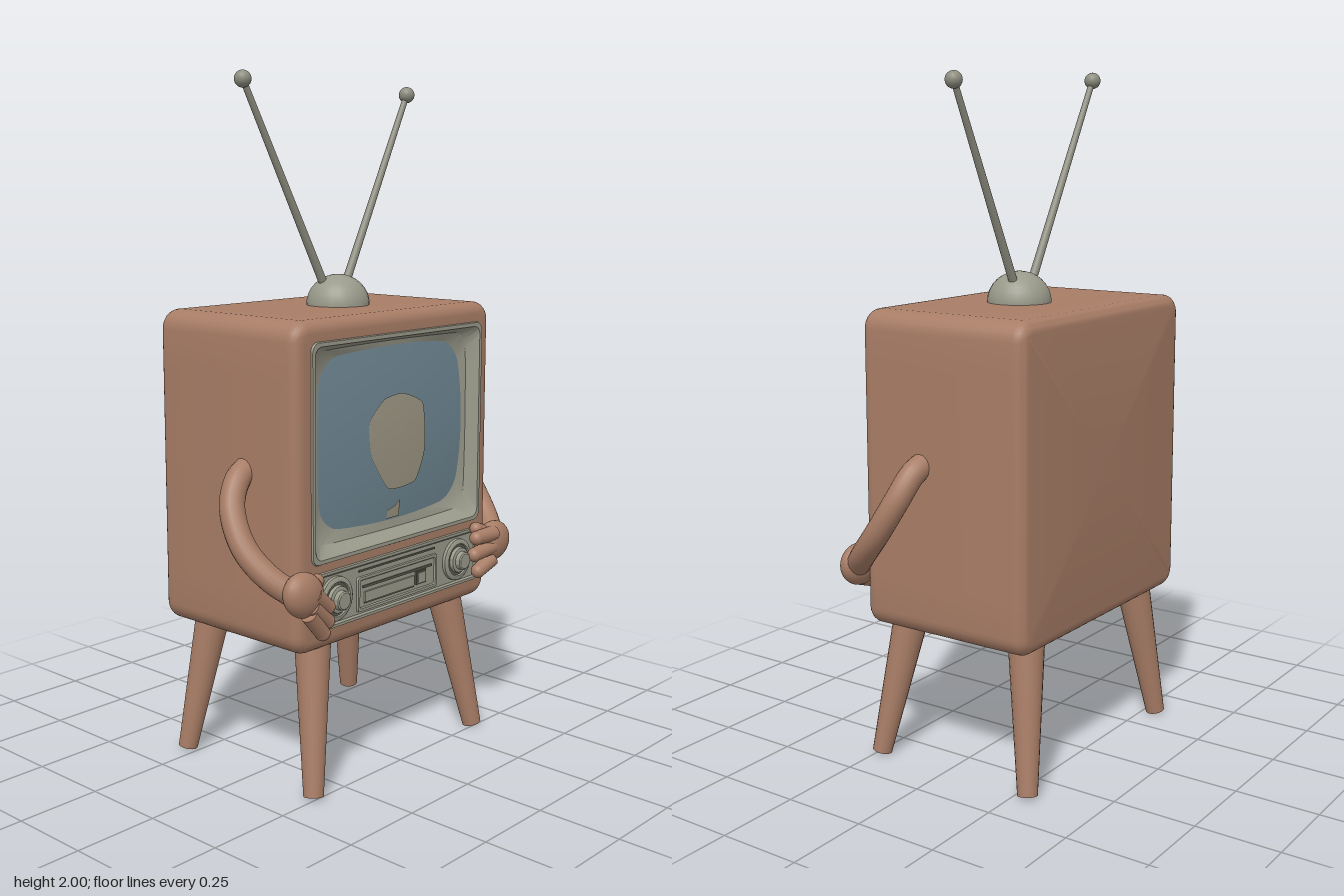
import * as THREE from 'three';
import { toCreasedNormals } from 'three/addons/utils/BufferGeometryUtils.js';

const paint = (name, color) => {
  const m = new THREE.MeshStandardMaterial({ color });
  m.name = name;
  return m;
};
const V = (x, y, z) => new THREE.Vector3(x, y, z);

// Rounded rectangle of points, counter-clockwise; bulge bows the sides outward.
function ring(cx, cy, z, w, h, r, bulge = 0) {
  const corners = [[1, -1], [1, 1], [-1, 1], [-1, -1]];
  const pts = [];
  corners.forEach(([sx, sy], k) => {
    for (let i = 0; i <= 6; i++) {
      const a = (k - 1 + i / 6) * Math.PI / 2;
      pts.push([sx * (w - r) + r * Math.cos(a), sy * (h - r) + r * Math.sin(a)]);
    }
    const [nx, ny] = corners[(k + 1) % 4];
    const end = pts[pts.length - 1];
    const a = k * Math.PI / 2;
    const next = [nx * (w - r) + r * Math.cos(a), ny * (h - r) + r * Math.sin(a)];
    for (let i = 1; i < 8; i++) {
      pts.push([end[0] + (next[0] - end[0]) * i / 8, end[1] + (next[1] - end[1]) * i / 8]);
    }
  });
  return pts.map(([x, y]) => V(
    cx + x * (1 + bulge * (1 - (y / h) ** 2)),
    cy + y * (1 + bulge * (1 - (x / w) ** 2)), z));
}

// Ring shrunk to a single point, closing a flat face.
const centre = (x, y, z) => Array.from({ length: 56 }, () => V(x, y, z));

// Skin joining successive rings of equal length, without zero-area triangles.
function loft(rings, crease = 0.6) {
  const n = rings[0].length, points = [];
  const tri = (a, b, c) => {
    if (!a.equals(b) && !b.equals(c) && !c.equals(a)) points.push(a, b, c);
  };
  for (let i = 0; i < rings.length - 1; i++) {
    for (let j = 0; j < n; j++) {
      const k = (j + 1) % n, p = rings[i], q = rings[i + 1];
      tri(p[j], p[k], q[j]);
      tri(p[k], q[k], q[j]);
    }
  }
  return toCreasedNormals(new THREE.BufferGeometry().setFromPoints(points), crease);
}

// Screen glass: a shallow dome around its centre.
const SX = 0.012, SY = 0.985;
const glassZ = (x, y) => 0.187 + 0.03 * (1 - Math.min(1, ((x - SX) / 0.32) ** 2 * 0.5 + ((y - SY) / 0.26) ** 2 * 0.5));

export function createModel() {
  const model = new THREE.Group();
  const brown = paint('brown casing', 0xa87d66);
  const grey = paint('warm grey trim', 0x9a9a8b);
  const metal = paint('aerial metal', 0x8f8e80);
  const blue = paint('blue glass', 0x708894);
  const tan = paint('pale reflection', 0x9f9985);
  const dark = paint('dark slot', 0x5c5b50);

  const add = (name, geo, mat, parent = model) => {
    const mesh = new THREE.Mesh(geo, mat);
    mesh.name = name;
    parent.add(mesh);
    return mesh;
  };
  const group = (name) => {
    const g = new THREE.Group();
    g.name = name;
    model.add(g);
    return g;
  };
  // Tapered round bar from a to b
  const bar = (name, a, b, ra, rb, mat, parent) => {
    const mesh = add(name, new THREE.CylinderGeometry(rb, ra, a.distanceTo(b), 20), mat, parent);
    mesh.position.copy(a).lerp(b, 0.5);
    mesh.quaternion.setFromUnitVectors(V(0, 1, 0), b.clone().sub(a).normalize());
  };
  const ball = (name, p, sx, sy, sz, mat, parent) => {
    const mesh = add(name, new THREE.SphereGeometry(1, 24, 16), mat, parent);
    mesh.position.copy(p);
    mesh.scale.set(sx, sy, sz);
    return mesh;
  };
  const box = (name, x, y, z, w, h, d, mat, parent) =>
    add(name, new THREE.BoxGeometry(w, h, d), mat, parent).position.set(x, y, z);

  // Cabinet: back, rounded edges, sides and front frame with the screen opening
  const W = 0.428, H = 0.46, CY = 0.88, R = 0.035;
  const shell = [centre(0, CY, -0.312)];
  for (let i = 0; i <= 6; i++) {
    const a = i / 6 * Math.PI / 2, inset = R * (1 - Math.sin(a));
    shell.push(ring(0, CY, -0.312 + R * (1 - Math.cos(a)), W - inset, H - inset, 0.055 - inset));
  }
  for (let i = 0; i <= 6; i++) {
    const a = i / 6 * Math.PI / 2, inset = R * (1 - Math.cos(a));
    shell.push(ring(0, CY, 0.238 - R * (1 - Math.sin(a)), W - inset, H - inset, 0.055 - inset));
  }
  shell.push(ring(0.005, 0.975, 0.238, 0.374, 0.306, 0.025));
  add('cabinet', loft(shell), brown);

  // Sloping screen surround
  const rim = ring(SX, SY, 0, 0.298, 0.238, 0.07, 0.075);
  rim.forEach(p => { p.z = glassZ(p.x, p.y); });
  add('screenSurround', loft([
    ring(0.005, 0.975, 0.236, 0.376, 0.308, 0.025),
    ring(0.005, 0.975, 0.243, 0.373, 0.305, 0.025),
    ring(0.005, 0.975, 0.243, 0.362, 0.294, 0.025),
    ring(0.008, 0.98, 0.205, 0.335, 0.27, 0.05, 0.02),
    rim,
  ]), grey);

  // Domed patch following the glass, filled toward (cx, cy)
  const patch = (outline, cx, cy, lift) => loft([1, 0.85, 0.7, 0.5, 0.25, 0].map(s => outline.map(p => {
    const x = cx + (p.x - cx) * s, y = cy + (p.y - cy) * s;
    return V(x, y, glassZ(x, y) + lift);
  })), 1);
  add('screenGlass', patch(rim, SX, SY, 0), blue);
  const blob = [[0.035, 1.10], [-0.045, 1.09], [-0.11, 1.03], [-0.10, 0.93], [-0.02, 0.825],
    [0.10, 0.83], [0.14, 0.92], [0.13, 1.06]].map(([x, y]) => V(x, y, 0));
  const blobCurve = new THREE.CatmullRomCurve3(blob, true, 'catmullrom', 0.25).getPoints(40).slice(0, 40);
  add('screenReflection', patch(blobCurve, 0.015, 0.96, 0.003), tan);
  const speck = [[0.035, 0.785], [0.015, 0.77], [-0.02, 0.76], [-0.02, 0.735], [0.035, 0.735]];
  add('smallReflection', patch(speck.map(([x, y]) => V(x, y, 0)), 0.012, 0.755, 0.003), tan);

  // Control panel with raised border
  const PY = 0.562, panel = group('controlPanel');
  add('panelPlate', loft([
    ring(0, PY, 0.23, 0.37, 0.084, 0.015), ring(0, PY, 0.246, 0.368, 0.082, 0.015),
    ring(0, PY, 0.246, 0.36, 0.074, 0.012), ring(0, PY, 0.241, 0.355, 0.069, 0.01),
    centre(0, PY, 0.241),
  ]), grey, panel);
  add('tunerFrame', loft([
    ring(-0.01, 0.55, 0.238, 0.18, 0.052, 0.008), ring(-0.01, 0.55, 0.247, 0.178, 0.05, 0.008),
    ring(-0.01, 0.55, 0.247, 0.17, 0.042, 0.006), ring(-0.01, 0.55, 0.243, 0.167, 0.039, 0.006),
    centre(-0.01, 0.55, 0.243),
  ]), grey, panel);
  box('tunerSlot', -0.01, 0.57, 0.244, 0.31, 0.007, 0.004, dark, panel);
  box('tunerBar', -0.05, 0.54, 0.245, 0.22, 0.03, 0.008, grey, panel);
  box('tunerLine', -0.05, 0.522, 0.244, 0.22, 0.004, 0.004, dark, panel);
  box('upperSlot', -0.01, 0.618, 0.242, 0.34, 0.005, 0.004, dark, panel);
  box('buttonEdge', 0.09, 0.545, 0.247, 0.044, 0.04, 0.006, dark, panel);
  box('button', 0.09, 0.545, 0.248, 0.034, 0.03, 0.008, grey, panel);

  // Turning knobs
  const knobProfile = [[0.064, 0], [0.064, 0.012], [0.058, 0.016], [0.05, 0.016], [0.047, 0.01],
    [0.04, 0.01], [0.038, 0.022], [0.028, 0.024], [0.027, 0.038], [0.023, 0.041], [0, 0.041]];
  const knobGeo = toCreasedNormals(new THREE.LatheGeometry(
    knobProfile.map(([x, y]) => new THREE.Vector2(x, y)), 32), 0.6);
  for (const x of [-0.28, 0.265]) {
    const knob = add('knob', knobGeo, grey, panel);
    knob.rotation.x = Math.PI / 2;
    knob.position.set(x, PY, 0.239);
    const groove = add('knobGroove', new THREE.RingGeometry(0.04, 0.048, 32), dark, panel);
    groove.position.set(x, PY, 0.2505);
  }

  // Splayed tapering legs
  for (const s of [-1, 1]) {
    bar('frontLeg', V(s * 0.365, 0.005, 0.238), V(s * 0.295, 0.44, 0.17), 0.029, 0.053, brown);
    bar('backLeg', V(s * 0.365, 0.005, -0.287), V(s * 0.295, 0.44, -0.235), 0.029, 0.053, brown);
  }

  // Aerial: domed base and two rods with ball tips
  const aerial = group('aerial');
  ball('aerialBase', V(0.028, 1.342, -0.028), 0.094, 0.088, 0.094, grey, aerial);
  for (const [x0, x1, y1] of [[-0.015, -0.333, 1.976], [0.075, 0.362, 1.958]]) {
    const tip = V(x1, y1, -0.048);
    bar('aerialRod', V(x0, 1.395, -0.042), tip, 0.013, 0.009, metal, aerial);
    ball('aerialTip', tip, 0.024, 0.024, 0.024, metal, aerial);
  }

  // Arms curving forward; each hand has a palm, three fingers and a thumb
  const hands = {
    left: { palm: V(0.415, 0.595, 0.268), tilt: 0.25, roots: [[0.40, 0.625], [0.39, 0.585], [0.39, 0.545]],
      tips: [[0.315, 0.625], [0.305, 0.575], [0.325, 0.52]], thumb: [0.345, 0.645] },
    right: { palm: V(-0.43, 0.61, 0.265), tilt: -0.6, roots: [[-0.41, 0.61], [-0.42, 0.58], [-0.43, 0.56]],
      tips: [[-0.355, 0.565], [-0.357, 0.525], [-0.375, 0.495]], thumb: [-0.37, 0.635] },
  };
  for (const [side, s] of [['left', 1], ['right', -1]]) {
    const arm = group(side + 'Arm'), hand = hands[side];
    const path = new THREE.CatmullRomCurve3([
      V(s * 0.40, 0.925, 0.03), V(s * 0.45, 0.9, 0.038), V(s * 0.495, 0.83, 0.06),
      V(s * 0.51, 0.73, 0.12), V(s * 0.485, 0.655, 0.19), V(s * 0.44, 0.605, 0.25)]);
    add('forearm', new THREE.TubeGeometry(path, 40, 0.036, 16), brown, arm);
    ball('palm', hand.palm, 0.072, 0.062, 0.042, brown, arm).rotation.z = hand.tilt;
    const finger = (name, a, b, r) => {
      bar(name, a, b, r, r * 0.9, brown, arm);
      ball(name + 'Tip', b, r * 0.92, r * 0.92, r * 0.92, brown, arm);
    };
    hand.roots.forEach(([x, y], i) =>
      finger('finger', V(x, y, 0.285), V(...hand.tips[i], 0.283), 0.024));
    finger('thumb', V(hand.palm.x, hand.palm.y + 0.02, 0.26), V(...hand.thumb, 0.258), 0.022);
  }
  return model;
}
